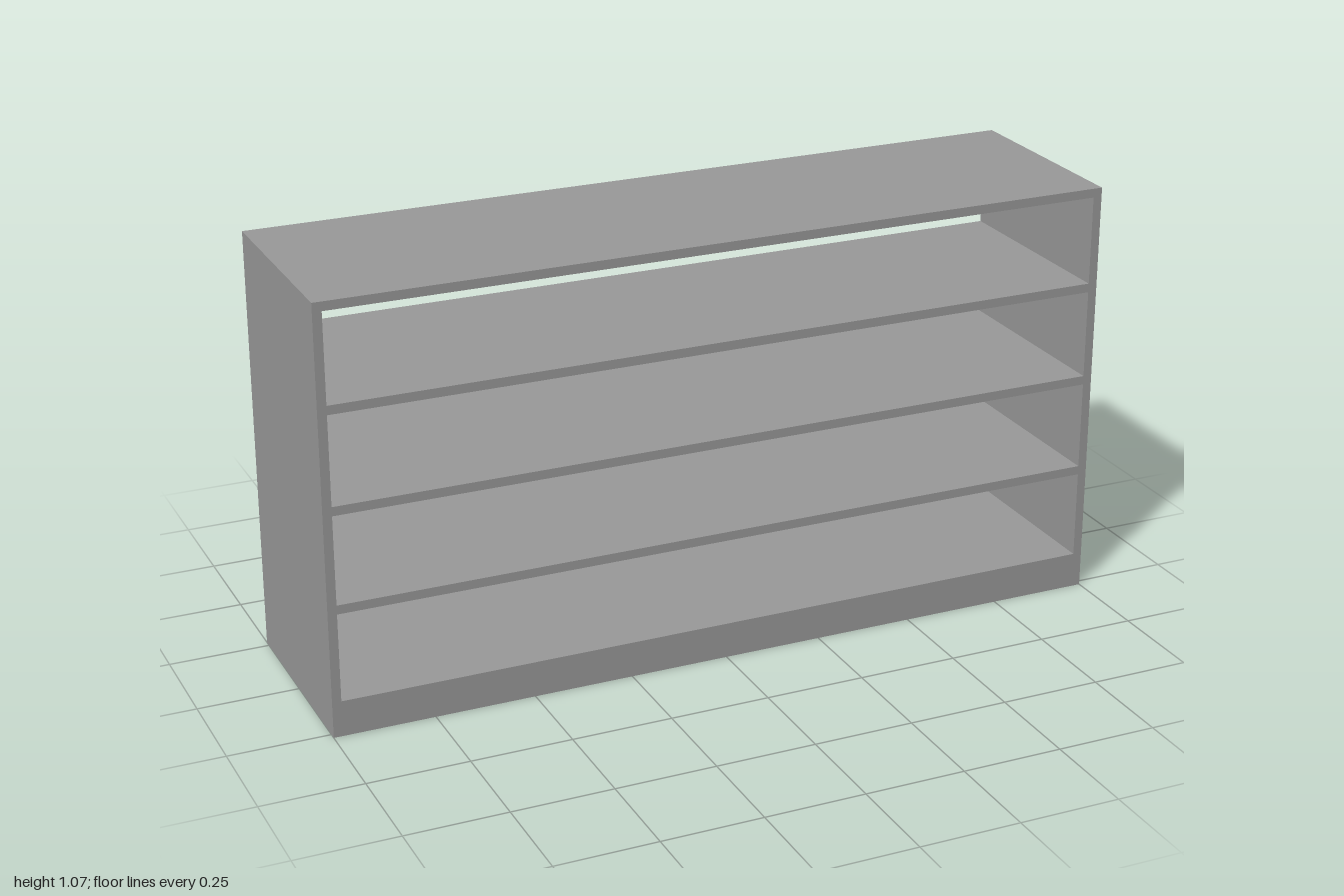
import * as THREE from 'three';

export function createModel() {
  const model = new THREE.Group();
  model.name = 'openShelfUnit';

  const grey = new THREE.MeshStandardMaterial({ color: 0x9a9a9a });
  grey.name = 'grey board';

  const width = 2, height = 1.067, depth = 0.535;
  const board = 0.0225;            // board thickness
  const baseTop = 0.09;            // top of the lowest shelf
  const inner = width - 2 * board; // clear width between the sides
  const spaces = 4;

  const addBoard = (name, w, h, d, x, y, z) => {
    const mesh = new THREE.Mesh(new THREE.BoxGeometry(w, h, d), grey);
    mesh.name = name;
    mesh.position.set(x, y, z);
    model.add(mesh);
  };

  // Full-height sides
  for (const [name, s] of [['leftSide', 1], ['rightSide', -1]]) {
    addBoard(name, board, height, depth, s * (width - board) / 2, height / 2, 0);
  }

  // Evenly spaced shelves from the bottom board to the top, open front and back
  const step = (height - baseTop) / spaces;
  for (let i = 0; i <= spaces; i++) {
    const name = i === 0 ? 'bottomBoard' : i === spaces ? 'topBoard' : `shelf${i}`;
    addBoard(name, inner, board, depth, 0, baseTop + i * step - board / 2, 0);
  }

  // Plinth rails under the bottom board, leaving the base hollow
  const railHeight = baseTop - board;
  for (const [name, s] of [['frontPlinth', 1], ['backPlinth', -1]]) {
    addBoard(name, inner, railHeight, board, 0, railHeight / 2, s * (depth - board) / 2);
  }

  return model;
}
